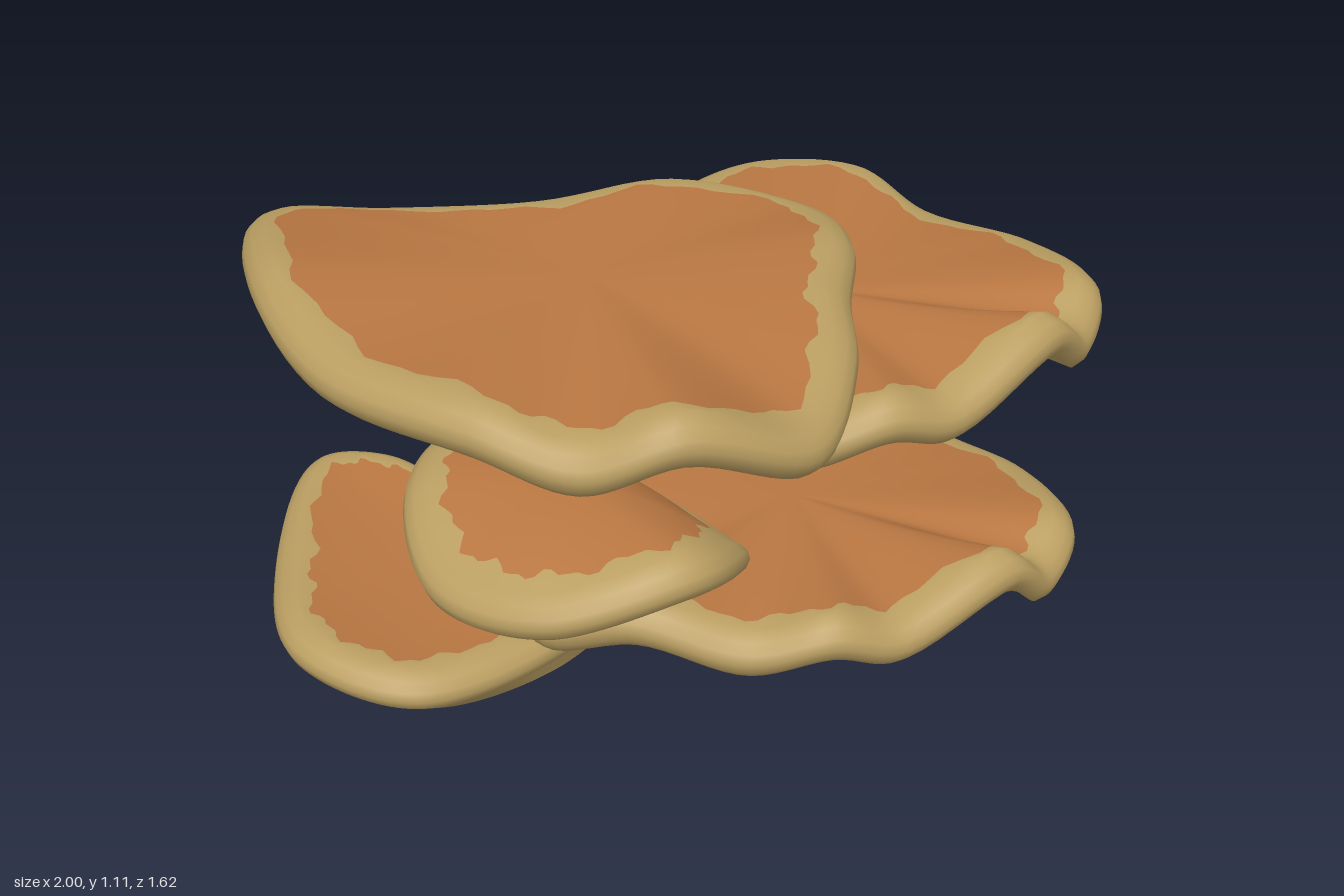
import * as THREE from 'three';

const SEGMENTS = 112;
const capBrown = new THREE.MeshStandardMaterial({ color: 0xb97742 });
capBrown.name = 'cap brown';
const rimTan = new THREE.MeshStandardMaterial({ color: 0xbb9f62 });
rimTan.name = 'rim tan';

// Ring rules: fractions out to the colour edge, [inset, height] over the rim, fractions in below
const CREST = 0.055;
const CAP_RINGS = [0.15, 0.3, 0.45, 0.6, 0.75, 0.88, 1];
const RIM_RINGS = [[CREST, 1], [0.025, 0.7], [0.006, 0.3], [0, -0.15], [0.008, -0.65], [0.03, -1.1]];
const UNDER_RINGS = [0.12, 0.24, 0.36, 0.48, 0.6, 0.72, 0.84, 0.94];

const flatDistance = (a, b) => Math.hypot(a.x - b.x, a.z - b.z);
const { lerp, smoothstep } = THREE.MathUtils;

// Closed body lofted from the middle of the cap, over the rim, to the lowest point below.
// Rim points are [x, y, z], running from +x round through +z. The swelling below
// fades out over the widths swellX and swellZ.
function shelfGeometry(top, under, [swellX, swellZ], edge, rim) {
  const curve = new THREE.CatmullRomCurve3(rim.map((p) => new THREE.Vector3(...p)), true);
  const outline = curve.getPoints(SEGMENTS).slice(0, SEGMENTS);
  const topPoint = new THREE.Vector3(...top);
  const underPoint = new THREE.Vector3(...under);
  const base = outline.reduce((sum, p) => sum + p.y, 0) / SEGMENTS - 1.2 * edge;
  const positions = [...top];
  const addRing = (rule) => outline.forEach((p, j) => positions.push(...rule(p, j).toArray()));

  // Cap, ending at a ragged colour edge
  for (const f of CAP_RINGS) {
    addRing((p, j) => {
      const ragged = 0.01 * Math.sin(j * Math.PI / 4) + 0.007 * Math.sin(j * Math.PI * 0.5625);
      const inset = f === 1 ? 0.09 + ragged : 0.09;
      const distance = flatDistance(p, topPoint);
      const s = f * (1 - inset / distance);
      const q = topPoint.clone().lerp(p, s);
      q.y = lerp(topPoint.y, p.y + edge, (s / (1 - CREST / distance)) ** 2);
      return q;
    });
  }
  // Rounded rim
  for (const [inset, height] of RIM_RINGS) {
    addRing((p) => {
      const q = p.clone().lerp(topPoint, inset / flatDistance(p, topPoint));
      q.y = p.y + height * edge;
      return q;
    });
  }
  // Underside, flat near the rim and swollen around its lowest point
  for (const t of UNDER_RINGS) {
    addRing((p) => {
      const q = p.clone().lerp(underPoint, t);
      const away = ((q.x - under[0]) / swellX) ** 2 + ((q.z - under[2]) / swellZ) ** 2;
      q.y = lerp(p.y - 1.2 * edge, base, t) + (under[1] - base) * Math.exp(-away) * smoothstep(t, -0.1, 0.4);
      return q;
    });
  }
  positions.push(...under);

  const ringCount = CAP_RINGS.length + RIM_RINGS.length + UNDER_RINGS.length;
  const last = positions.length / 3 - 1;
  const at = (ring, j) => 1 + ring * SEGMENTS + (j % SEGMENTS);
  const index = [];
  for (let j = 0; j < SEGMENTS; j++) index.push(0, at(0, j + 1), at(0, j));
  for (let r = 0; r < ringCount - 1; r++) {
    for (let j = 0; j < SEGMENTS; j++) {
      index.push(at(r, j), at(r + 1, j + 1), at(r + 1, j), at(r, j), at(r, j + 1), at(r + 1, j + 1));
    }
  }
  for (let j = 0; j < SEGMENTS; j++) index.push(at(ringCount - 1, j), at(ringCount - 1, j + 1), last);

  const geometry = new THREE.BufferGeometry();
  geometry.setAttribute('position', new THREE.Float32BufferAttribute(positions, 3));
  geometry.setIndex(index);
  const capEnd = SEGMENTS * (3 + 6 * (CAP_RINGS.length - 1));
  geometry.addGroup(0, capEnd, 0);
  geometry.addGroup(capEnd, index.length - capEnd, 1);
  geometry.computeVertexNormals();
  return geometry;
}

export function createModel() {
  const model = new THREE.Group();
  model.name = 'shelfFungus';
  const addShelf = (name, geometry) => {
    const mesh = new THREE.Mesh(geometry, [capBrown, rimTan]);
    mesh.name = name;
    model.add(mesh);
    return mesh;
  };

  addShelf('topShelf', shelfGeometry([-0.42, 1.06, 0.12], [-0.22, 0.83, 0.15], [0.27, 0.4], 0.05, [
    [0.23, 0.96, 0.19], [0.13, 0.99, 0.37], [-0.05, 0.99, 0.51], [-0.2, 0.97, 0.65],
    [-0.45, 0.94, 0.77], [-0.72, 1.05, 0.69], [-0.86, 0.99, 0.55], [-0.95, 1.03, 0.36],
    [-1, 1.02, 0], [-0.87, 1.04, -0.38], [-0.62, 0.97, -0.66], [-0.46, 0.97, -0.5],
    [-0.22, 1, -0.23], [0.07, 1, -0.07],
  ]));

  // The two broad shelves share one shape, the lower one turned and tilted slightly
  const broad = shelfGeometry([0.18, 0.81, 0.2], [0.45, 0.56, 0.04], [0.24, 0.42], 0.05, [
    [0.74, 0.73, 0.12], [0.77, 0.74, 0.4], [0.64, 0.78, 0.67], [0.5, 0.74, 0.74],
    [0.36, 0.83, 0.76], [0.05, 0.75, 0.73], [-0.1, 0.79, 0.68], [-0.25, 0.74, 0.56],
    [-0.42, 0.79, 0.38], [-0.55, 0.74, 0.2], [-0.3, 0.81, -0.14], [0.05, 0.8, -0.24],
    [0.42, 0.77, -0.35], [0.65, 0.75, -0.32], [0.75, 0.77, -0.1],
  ]);
  addShelf('upperShelf', broad);
  const lowerShelf = addShelf('lowerShelf', broad);
  lowerShelf.rotation.set(0, -0.148, -0.05);
  lowerShelf.position.set(-0.06, -0.51, -0.01);

  addShelf('middleLeftShelf', shelfGeometry([-0.54, 0.66, 0.2], [-0.53, 0.55, 0.2], [0.3, 0.3], 0.047, [
    [-0.22, 0.42, 0.2], [-0.25, 0.43, 0.4], [-0.38, 0.54, 0.53], [-0.57, 0.61, 0.58],
    [-0.82, 0.55, 0.4], [-0.88, 0.53, 0.14], [-0.72, 0.58, -0.12], [-0.5, 0.57, -0.2], [-0.26, 0.45, 0],
  ]));

  addShelf('middleRightShelf', shelfGeometry([0.64, 0.47, -0.14], [0.78, 0.28, -0.15], [0.25, 0.3], 0.045, [
    [1, 0.36, -0.1], [0.87, 0.46, 0.08], [0.74, 0.46, 0.15], [0.6, 0.38, 0.19], [0.4, 0.35, 0.08],
    [0.33, 0.37, -0.22], [0.52, 0.41, -0.48], [0.74, 0.36, -0.41], [0.93, 0.36, -0.25],
  ]));

  addShelf('bottomShelf', shelfGeometry([-0.54, 0.2, -0.28], [-0.44, 0, -0.09], [0.28, 0.22], 0.043, [
    [-0.17, 0.12, -0.02], [-0.45, 0.15, 0.11], [-0.86, 0.18, 0.04], [-0.96, 0.2, -0.24],
    [-0.8, 0.19, -0.52], [-0.44, 0.18, -0.81], [-0.32, 0.18, -0.7], [-0.28, 0.17, -0.4],
  ]));

  return model;
}
